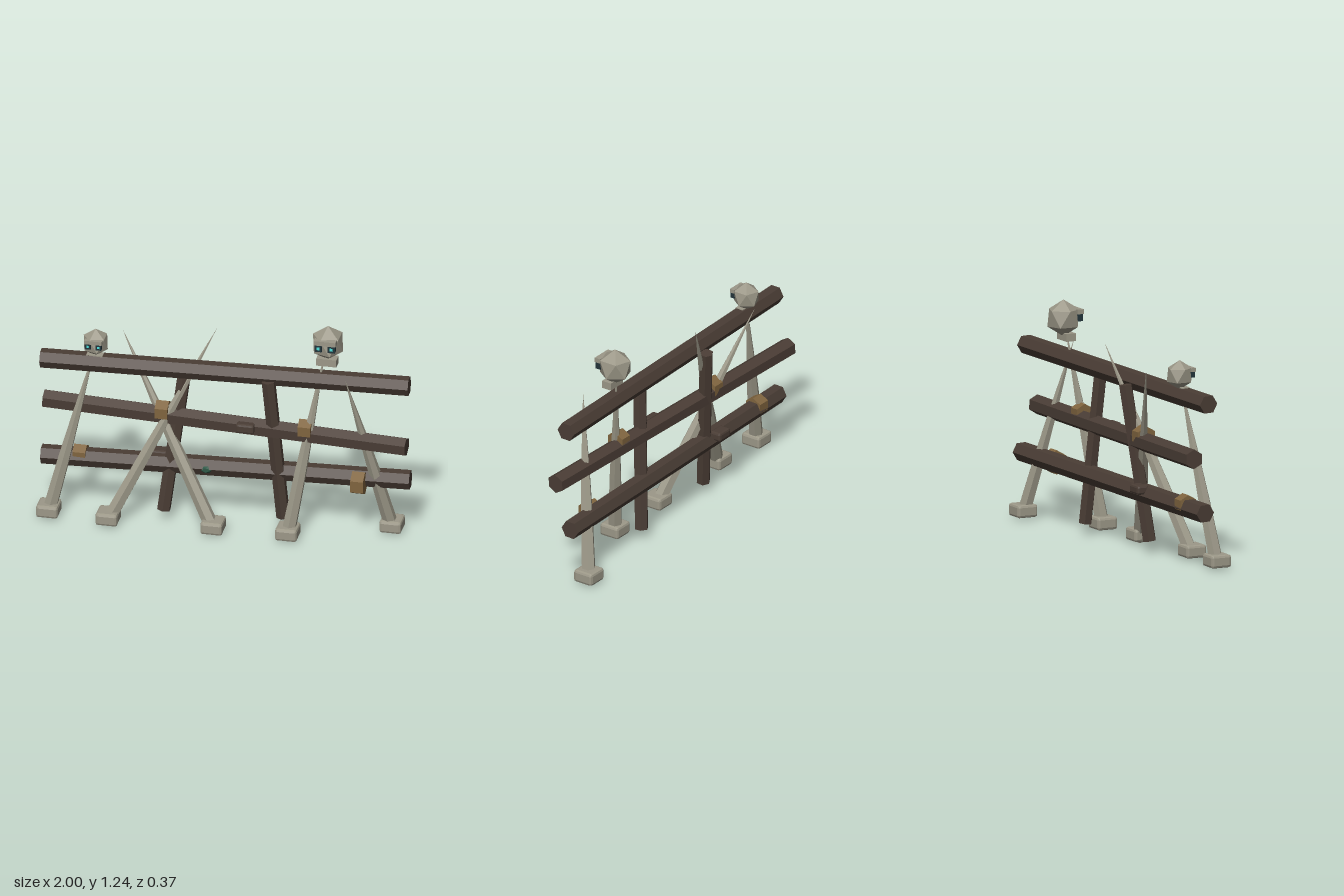
import * as THREE from 'three';
import { RoundedBoxGeometry } from 'three/addons/geometries/RoundedBoxGeometry.js';

const material = (color) => new THREE.MeshStandardMaterial({ color, flatShading: true });
const UP = new THREE.Vector3(0, 1, 0);

export function createModel() {
  const model = new THREE.Group();
  const wood = material(0x4a3d35);
  const bone = material(0x9c9888);
  const strap = material(0x80653f);
  const socket = material(0x22343a);
  const glow = material(0x4fe0dc);
  const moss = material(0x2f5a48);

  function add(parent, name, geometry, mat, position, rotation = [0, 0, 0]) {
    const mesh = new THREE.Mesh(geometry, mat);
    mesh.name = name;
    mesh.position.set(...position);
    mesh.rotation.set(...rotation);
    parent.add(mesh);
    return mesh;
  }

  // Place a geometry that runs along +y (centred) between two points
  function span(name, from, to, mat, makeGeometry) {
    const a = new THREE.Vector3(...from);
    const b = new THREE.Vector3(...to);
    const dir = b.clone().sub(a);
    const mesh = add(model, name, makeGeometry(dir.length()), mat,
      a.clone().add(b).multiplyScalar(0.5).toArray());
    mesh.quaternion.setFromUnitVectors(UP, dir.normalize());
  }

  // Three hexagonal rails, each slightly skewed
  const rails = [
    ['topRail', [-1, 0.905, 0.02], [1, 0.923, -0.053], 0],
    ['middleRail', [-1, 0.615, -0.067], [1, 0.59, 0.015], Math.PI / 6],
    ['lowerRail', [-1, 0.315, 0], [1, 0.343, -0.08], 0],
  ];
  for (const [name, from, to, roll] of rails) {
    span(name, from, to, wood,
      (len) => new THREE.CylinderGeometry(0.053, 0.053, len, 6, 1, false, roll));
  }

  // Two leaning posts
  const posts = [
    [[-0.33, 0.06, 0.008], [-0.23, 0.9, -0.085]],
    [[0.31, 0.06, -0.05], [0.243, 0.9, 0.01]],
  ];
  for (const [from, to] of posts) {
    span('post', from, to, wood, (len) => new THREE.CylinderGeometry(0.038, 0.038, len, 6));
  }

  // Bone stakes tapering to a point, each with a chamfered foot
  const stakes = [
    [[-0.94, 0.02, 0.1], [-0.71, 0.98, 0]],
    [[-0.61, 0.02, 0.12], [-0.07, 1.11, -0.13]],
    [[-0.04, 0.02, 0.1], [-0.59, 1.04, -0.145]],
    [[0.365, 0.02, 0.085], [0.54, 1.08, -0.05]],
    [[0.89, 0.02, -0.125], [0.675, 0.99, 0.07]],
  ];
  const taper = [[0, 0], [0.04, 0], [0.034, 0.35], [0.024, 0.6], [0.011, 0.83], [0, 1]];
  for (const [from, to] of stakes) {
    span('boneStake', from, to, bone, (len) => new THREE.LatheGeometry(
      taper.map(([r, t]) => new THREE.Vector2(r, (t - 0.5) * len)), 6));
    add(model, 'stakeFoot', new RoundedBoxGeometry(0.12, 0.07, 0.12, 1, 0.014), bone,
      [from[0], 0.045, from[2]]);
  }

  // Hexagonal lashings around the rails
  const lashings = [
    [-0.345, 0.635, -0.035, 0.058],
    [0.445, 0.632, 0, 0.055],
    [0.73, 0.325, -0.022, 0.066],
    [-0.79, 0.335, -0.012, 0.054],
  ];
  for (const [x, y, z, r] of lashings) {
    add(model, 'lashing', new THREE.CylinderGeometry(r, r, 0.07, 6, 1, false, Math.PI / 6),
      strap, [x, y, z], [0, 0, Math.PI / 2]);
  }

  // Wood knots and a moss patch
  add(model, 'woodKnot', new RoundedBoxGeometry(0.1, 0.055, 0.07, 1, 0.012), wood, [0.12, 0.61, 0.012]);
  add(model, 'woodKnot', new RoundedBoxGeometry(0.1, 0.05, 0.07, 1, 0.012), wood, [-0.37, 0.355, -0.075]);
  add(model, 'mossPatch', new THREE.IcosahedronGeometry(0.04, 0), moss, [-0.1, 0.325, 0.0])
    .scale.set(1, 0.65, 0.6);

  // Faceted skulls, built at radius 0.1 and scaled
  function skull(name, position, scale) {
    const head = new THREE.Group();
    head.name = name;
    head.position.set(...position);
    head.scale.setScalar(scale);
    const cranium = new THREE.IcosahedronGeometry(0.1, 0);
    cranium.rotateZ(Math.atan(2 / (1 + Math.sqrt(5))));
    cranium.scale(0.92, 1, 0.98);
    add(head, 'cranium', cranium, bone, [0, 0, 0]);
    add(head, 'jaw', new THREE.BoxGeometry(0.11, 0.042, 0.058), bone, [0, -0.1, 0.018]);
    add(head, 'brow', new THREE.BoxGeometry(0.12, 0.026, 0.035), bone, [0, 0.036, 0.074]);
    for (const side of [-1, 1]) {
      add(head, 'eyeSocket', new THREE.BoxGeometry(0.04, 0.04, 0.03), socket, [side * 0.036, 0.004, 0.073]);
      add(head, 'eyeGlow', new THREE.BoxGeometry(0.016, 0.016, 0.006), glow, [side * 0.036, 0.004, 0.088]);
    }
    model.add(head);
  }
  skull('largeSkull', [0.555, 1.135, -0.055], 1);
  skull('smallSkull', [-0.705, 1.022, -0.003], 0.8);

  return model;
}
